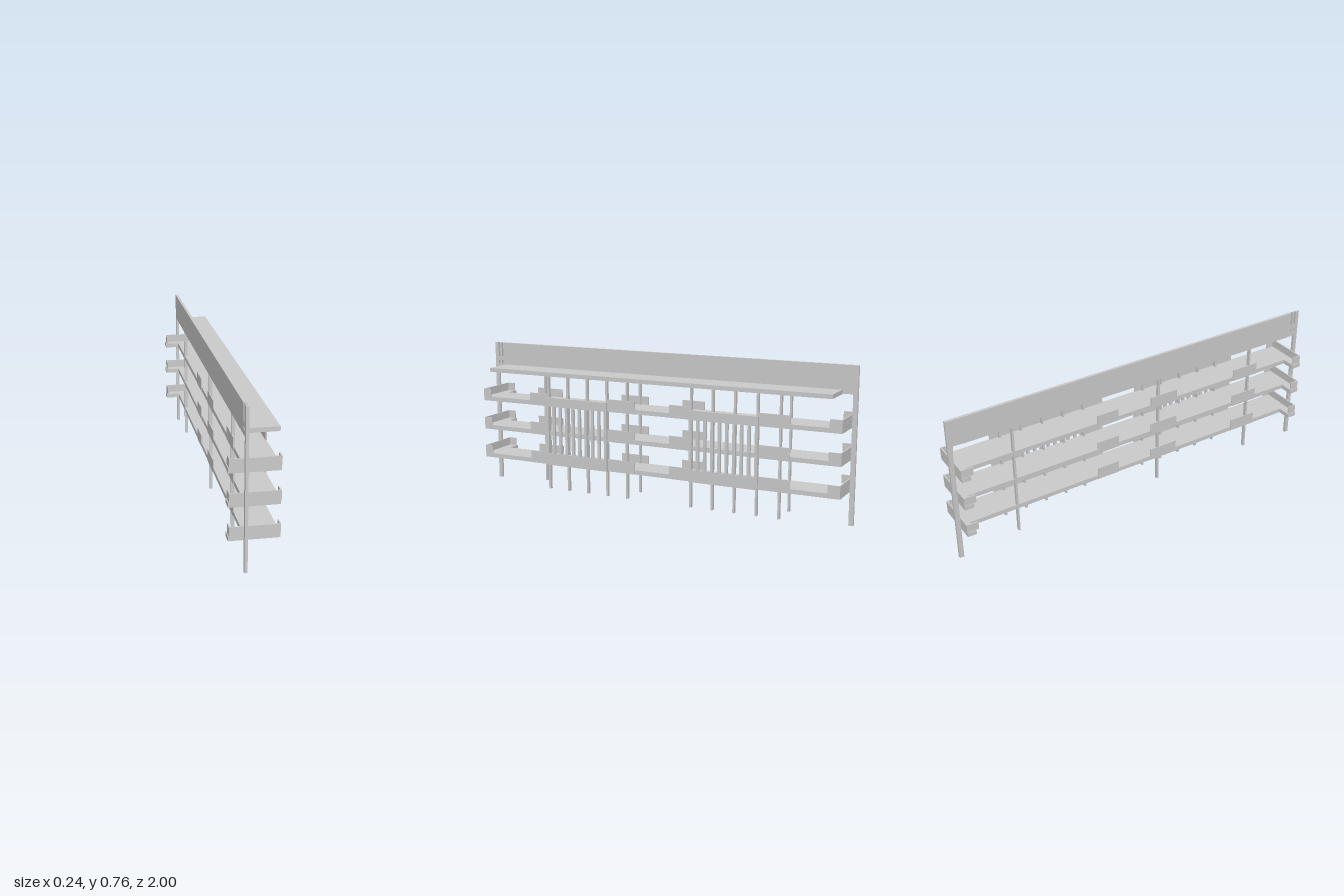
import * as THREE from 'three';

const material = new THREE.MeshStandardMaterial({ color: 0xcccccc, flatShading: true });

export function createModel() {
  const model = new THREE.Group();

  // Box given by its lower and upper limits on each axis
  function box(name, x0, x1, y0, y1, z0, z1, parent = model) {
    const mesh = new THREE.Mesh(new THREE.BoxGeometry(x1 - x0, y1 - y0, z1 - z0), material);
    mesh.position.set((x0 + x1) / 2, (y0 + y1) / 2, (z0 + z1) / 2);
    mesh.name = name;
    parent.add(mesh);
  }

  // Tall upper wall with a slotted joint at its front end
  const wx0 = -0.052, wx1 = -0.038;
  box('upperWall', wx0, wx1, 0.625, 0.76, -0.977, 0.95);
  box('jointStrip', wx0, wx1, 0.625, 0.76, 0.96, 0.97);
  box('jointBarLower', wx0, wx1, 0.625, 0.648, 0.95, 0.98);
  box('jointBarUpper', wx0, wx1, 0.665, 0.685, 0.95, 0.98);

  // End posts
  box('frontEndPost', wx0, wx1, 0.015, 0.76, 0.98, 1);
  box('backEndPost', wx0, wx1, 0, 0.76, -1, -0.977);

  // Roof slab
  box('roofSlab', -0.05, 0.108, 0.622, 0.643, -0.925, 0.935);

  // Columns along both long sides
  for (const z of [0.69, 0.125, -0.68])
    box('wallSideColumn', -0.052, -0.035, 0.03, 0.63, z - 0.005, z + 0.005);
  for (const start of [0.58, -0.225])
    for (let i = 0; i < 5; i++) {
      const z = start - i * 0.1138;
      box('outerColumn', 0.089, 0.107, 0.03, 0.63, z - 0.005, z + 0.005);
    }

  // Three floors with end balconies and parapets
  const t = 0.006;
  for (const y of [0.161, 0.314, 0.467]) {
    const floor = new THREE.Group();
    floor.name = 'floor';
    model.add(floor);
    const top = y + 0.022, rail = y + 0.063;
    box('floorSlab', -0.05, 0.106, y, top, -0.975, 0.98, floor);
    for (const s of [1, -1]) {
      const span = (a, b) => (s > 0 ? [a, b] : [-b, -a]);
      const end = s > 0 ? 0.98 : 0.975;
      const inner = s > 0 ? 0.935 : 0.915;
      box('balconySlab', -0.12, -0.05, y, top, ...span(0.93, end), floor);
      box('endParapet', -0.116, 0.108, top, rail, ...span(end - t, end), floor);
      box('outerParapetReturn', 0.102, 0.108, top, rail, ...span(inner, end - t), floor);
      box('wallSideParapetReturn', -0.116, -0.11, top, rail, ...span(inner, end - t), floor);
    }
    for (const [a, b] of [[0.575, 0.69], [0.08, 0.24], [-0.23, -0.11], [-0.73, -0.565]])
      box('outerParapet', 0.102, 0.108, y, rail, a, b, floor);
    for (const [a, b] of [[0.59, 0.74], [0.08, 0.235], [-0.23, -0.11]])
      box('wallSideParapet', -0.052, -0.046, y, rail, a, b, floor);
  }

  // Slatted screens on the outer side
  const width = 0.355, slots = 9, pitch = (width - 0.016) / slots;
  for (const z of [0.41, -0.398]) {
    const shape = new THREE.Shape();
    shape.moveTo(-width / 2, 0.161);
    shape.lineTo(width / 2, 0.161);
    shape.lineTo(width / 2, 0.514);
    shape.lineTo(-width / 2, 0.514);
    shape.closePath();
    for (let i = 0; i < slots; i++) {
      const c = (i - (slots - 1) / 2) * pitch, h = 0.0115;
      const hole = new THREE.Path();
      hole.moveTo(c - h, 0.222);
      hole.lineTo(c - h, 0.468);
      hole.lineTo(c + h, 0.468);
      hole.lineTo(c + h, 0.222);
      hole.closePath();
      shape.holes.push(hole);
    }
    const geometry = new THREE.ExtrudeGeometry(shape, { depth: 0.012, bevelEnabled: false });
    const screen = new THREE.Mesh(geometry, material);
    screen.rotation.y = Math.PI / 2;
    screen.position.set(0.108, 0, z);
    screen.name = 'slattedScreen';
    model.add(screen);
  }
  return model;
}
